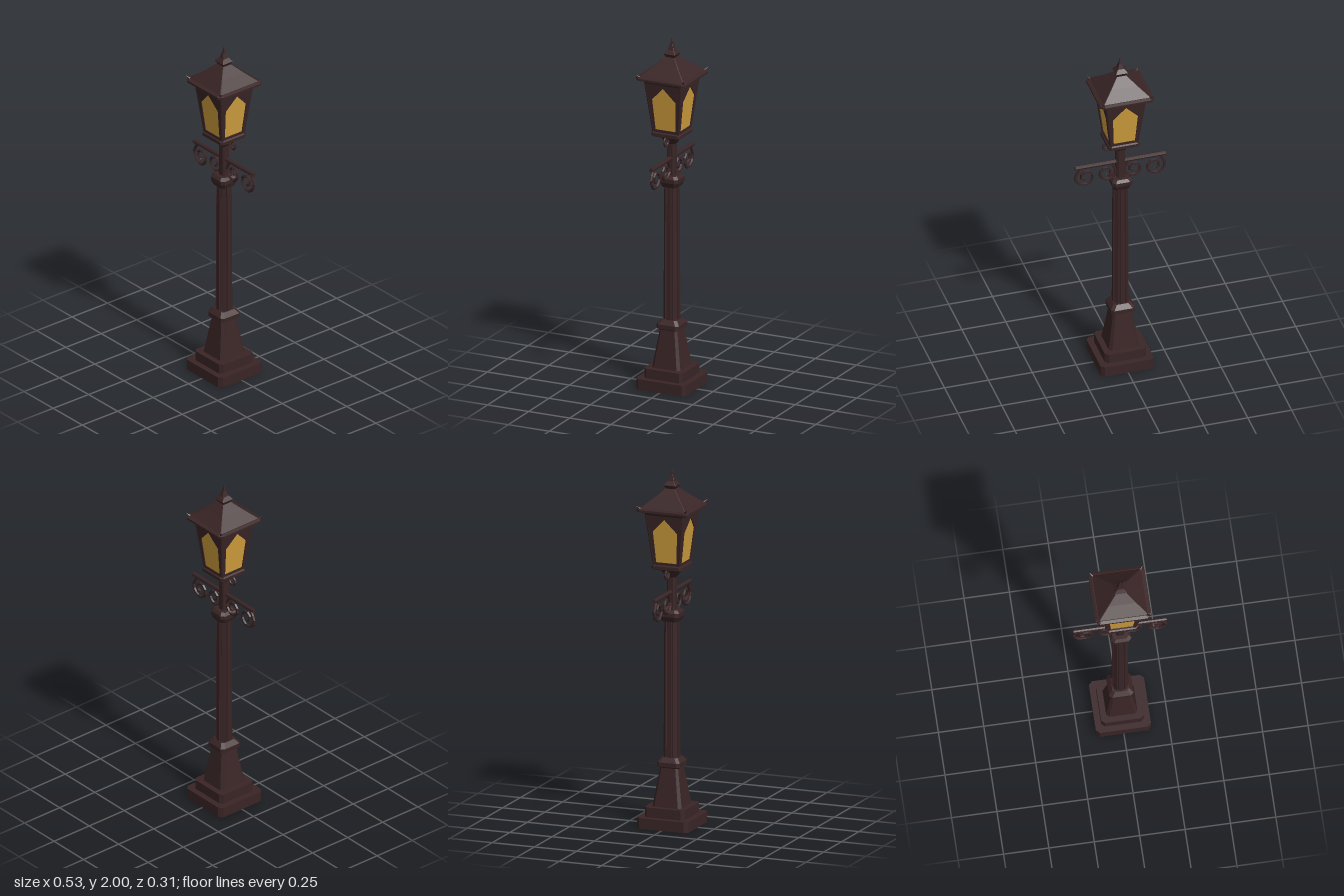
import * as THREE from 'three';

const metal = new THREE.MeshStandardMaterial({ color: 0x3a2526, flatShading: true, side: THREE.DoubleSide });
metal.name = 'darkIron';
const glass = new THREE.MeshStandardMaterial({ color: 0xd2a03e, side: THREE.DoubleSide });
glass.name = 'amberGlass';

// square ring with cut corners
const square = (y, h, c) => [
  [h, -h + c], [h, h - c], [h - c, h], [-h + c, h], [-h, h - c], [-h, -h + c], [-h + c, -h], [h - c, -h],
].map(([x, z]) => new THREE.Vector3(x, y, z));

// fluted round ring with eight flat ridges and narrow grooves
const fluted = (y, r) => {
  const ring = [];
  for (let i = 0; i < 8; i++) {
    for (const [da, k] of [[-0.26, 1], [0.26, 1], [0.34, 0.84], [0.445, 0.84]]) {
      const a = (i * Math.PI) / 4 + da;
      ring.push(new THREE.Vector3(r * k * Math.cos(a), y, r * k * Math.sin(a)));
    }
  }
  return ring;
};

// skin a stack of rings, closed at both ends
function loft(rings) {
  const pos = [];
  const tri = (...pts) => pts.forEach((p) => pos.push(p.x, p.y, p.z));
  const n = rings[0].length;
  for (let k = 0; k < rings.length - 1; k++) {
    const lo = rings[k], hi = rings[k + 1];
    for (let i = 0; i < n; i++) {
      const j = (i + 1) % n;
      tri(lo[i], hi[i], lo[j]);
      tri(lo[j], hi[i], hi[j]);
    }
  }
  const first = rings[0], last = rings[rings.length - 1];
  for (let i = 1; i < n - 1; i++) {
    tri(first[0], first[i], first[i + 1]);
    tri(last[0], last[i + 1], last[i]);
  }
  const g = new THREE.BufferGeometry();
  g.setAttribute('position', new THREE.Float32BufferAttribute(pos, 3));
  g.computeVertexNormals();
  return g;
}

function add(parent, name, geometry, material = metal) {
  const mesh = new THREE.Mesh(geometry, material);
  mesh.name = name;
  parent.add(mesh);
  return mesh;
}

const block = (parent, name, rows) => add(parent, name, loft(rows.map((r) => square(...r))));

// faceted rod between two points
function rod(parent, name, a, b, r0, r1, sides) {
  const dir = b.clone().sub(a);
  const mesh = add(parent, name, new THREE.CylinderGeometry(r1, r0, dir.length(), sides));
  mesh.position.copy(a).add(b).multiplyScalar(0.5);
  mesh.quaternion.setFromUnitVectors(new THREE.Vector3(0, 1, 0), dir.normalize());
  return mesh;
}

// scroll that winds inward from angle a0, in the direction of turn
function scroll(parent, name, side, cx, cy, r, a0, turn, thick) {
  const pts = [];
  const steps = 9;
  for (let i = 0; i <= steps; i++) {
    const a = a0 + (turn * i * Math.PI) / 3.2;
    const rr = r * (1 - (0.72 * i) / steps);
    pts.push(new THREE.Vector3(side * (cx + rr * Math.cos(a)), cy + rr * Math.sin(a), 0));
  }
  const path = new THREE.CatmullRomCurve3(pts);
  add(parent, name, new THREE.TubeGeometry(path, 14, thick, 5));
}

export function createModel() {
  const lamp = new THREE.Group();
  lamp.name = 'streetLamp';

  // stepped foot and tapered pedestal
  block(lamp, 'footStep', [[0, 0.152, 0.02], [0.06, 0.152, 0.02]]);
  block(lamp, 'upperStep', [[0.06, 0.118, 0.018], [0.115, 0.118, 0.018]]);
  block(lamp, 'pedestal', [[0.115, 0.086, 0.016], [0.335, 0.052, 0.012]]);
  block(lamp, 'pedestalCollar', [[0.33, 0.055, 0.012], [0.338, 0.068, 0.016], [0.362, 0.068, 0.016], [0.387, 0.047, 0.014]]);

  // column, capital and neck
  add(lamp, 'shaft', loft([fluted(0.38, 0.046), fluted(0.98, 0.044), fluted(1.16, 0.042)]));
  block(lamp, 'capital', [[1.15, 0.046, 0.014], [1.178, 0.058, 0.018], [1.2, 0.058, 0.018], [1.215, 0.045, 0.016]]);
  block(lamp, 'neck', [[1.2, 0.024, 0.009], [1.395, 0.024, 0.009], [1.447, 0.06, 0.012]]);

  // crossbar with hanging scrolls
  rod(lamp, 'crossbar', new THREE.Vector3(-0.257, 1.312, 0), new THREE.Vector3(0.257, 1.312, 0), 0.012, 0.012, 8);
  for (const s of [-1, 1]) {
    scroll(lamp, 'outerScroll', s, 0.197, 1.244, 0.064, 1.0, -1, 0.0085);
    scroll(lamp, 'innerScroll', s, 0.077, 1.25, 0.058, 2.15, 1, 0.0085);
    scroll(lamp, 'lanternScroll', s, 0.075, 1.424, 0.034, 2.3, 1, 0.006);
  }

  // lantern: four arched frames with glass, between corner posts
  const lantern = new THREE.Group();
  lantern.name = 'lantern';
  lamp.add(lantern);
  block(lantern, 'lanternFloor', [[1.445, 0.08, 0.012], [1.45, 0.089, 0.014], [1.468, 0.089, 0.014], [1.474, 0.08, 0.012]]);
  const y0 = 1.468, rise = 0.3, lean = Math.atan(0.036 / rise);
  const outline = (pts) => pts.map(([x, y]) => new THREE.Vector2(x, y));
  const arch = [[-0.061, 0.019], [0.061, 0.019], [0.072, 0.197], [0, 0.272], [-0.072, 0.197]];
  for (let i = 0; i < 4; i++) {
    const wall = new THREE.Group();
    wall.name = 'lanternSide';
    wall.rotation.y = (i * Math.PI) / 2;
    lantern.add(wall);
    const panel = new THREE.Group();
    panel.name = 'panel';
    panel.position.set(0, y0, 0.08);
    panel.rotation.x = lean;
    wall.add(panel);
    const shape = new THREE.Shape(outline([[-0.074, 0], [0.074, 0], [0.109, 0.302], [-0.109, 0.302]]));
    shape.holes.push(new THREE.Path(outline(arch).reverse()));
    const frame = add(panel, 'archFrame', new THREE.ExtrudeGeometry(shape, { depth: 0.01, bevelEnabled: false }));
    frame.position.z = -0.01;
    const pane = add(panel, 'glassPane', new THREE.ShapeGeometry(new THREE.Shape(outline(arch))), glass);
    pane.position.z = -0.005;
    rod(wall, 'cornerPost', new THREE.Vector3(0.073, y0, 0.073), new THREE.Vector3(0.108, 1.77, 0.108), 0.009, 0.009, 8);
  }

  // eave, roof and finial
  block(lantern, 'eave', [[1.757, 0.117, 0.016], [1.77, 0.128, 0.018], [1.778, 0.154, 0.023], [1.79, 0.154, 0.023], [1.797, 0.138, 0.012]]);
  block(lantern, 'roof', [[1.795, 0.137, 0.004], [1.847, 0.077, 0.003], [1.893, 0.028, 0.002]]);
  block(lantern, 'finialKnob', [[1.886, 0.022, 0.002], [1.912, 0.036, 0.002], [1.933, 0.019, 0.001]]);
  block(lantern, 'finialSpike', [[1.93, 0.019, 0.001], [1.96, 0.0095, 0.001], [2, 0.0005, 0.0001]]);

  // horns on the roof corners
  for (const sx of [-1, 1]) {
    for (const sz of [-1, 1]) {
      rod(lantern, 'cornerHorn', new THREE.Vector3(sx * 0.126, 1.785, sz * 0.126),
        new THREE.Vector3(sx * 0.148, 1.81, sz * 0.148), 0.013, 0.0005, 6);
    }
  }
  return lamp;
}
